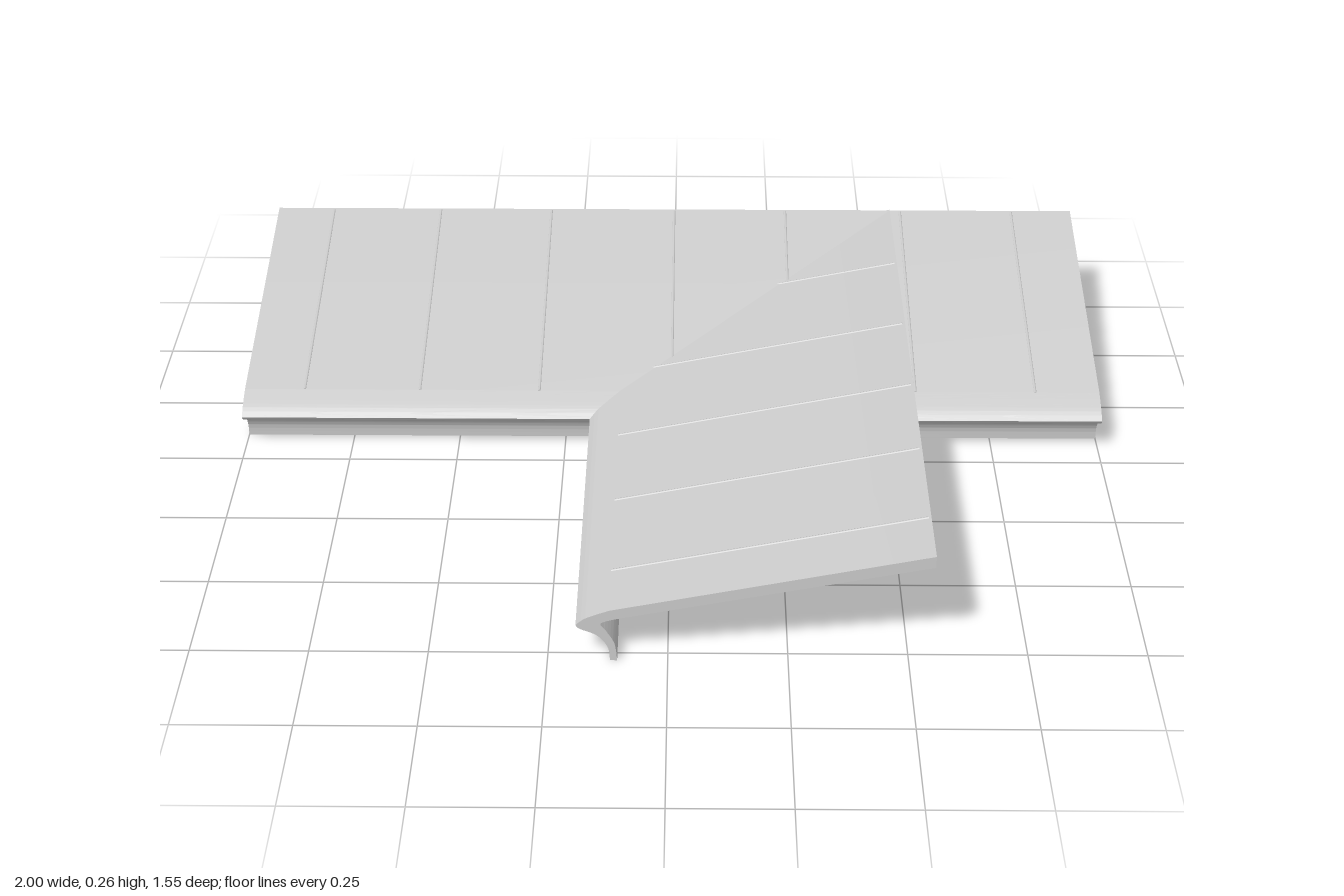
import * as THREE from 'three';
import { toCreasedNormals } from 'three/addons/utils/BufferGeometryUtils.js';

const material = new THREE.MeshStandardMaterial({ color: 0xcccccc, side: THREE.DoubleSide });
const WIDTH = 0.735;                      // horizontal run from eave lip to upper edge
const v = (x, y) => new THREE.Vector2(x, y);

// Sloped sheet with a lip at the eave that curls back under
function profile() {
  const s = new THREE.Shape();
  s.moveTo(0.07, 0);
  s.splineThru([v(0.066, 0.033), v(0.044, 0.063), v(0.008, 0.08), v(0, 0.09)]);
  s.splineThru([v(0.022, 0.107), v(0.07, 0.126)]);
  s.lineTo(WIDTH, 0.264);
  s.lineTo(WIDTH, 0.237);
  s.lineTo(0.08, 0.104);
  s.splineThru([v(0.052, 0.093), v(0.064, 0.073), v(0.08, 0.042), v(0.085, 0)]);
  s.closePath();
  return s;
}

// One panel: u runs up the slope along +x, length runs along z, centred
function panel(name, length, seams) {
  const group = new THREE.Group();
  group.name = name;

  const geo = new THREE.ExtrudeGeometry(profile(), { depth: length, bevelEnabled: false, curveSegments: 16 });
  geo.translate(0, 0, -length / 2);
  const sheet = new THREE.Mesh(toCreasedNormals(geo, 0.6), material);
  sheet.name = name + 'Sheet';
  group.add(sheet);

  // Faint raised seams across the slope
  const a = v(0.07, 0.126), b = v(WIDTH - 0.005, 0.263);
  for (const z of seams) {
    const seam = new THREE.Mesh(new THREE.CylinderGeometry(0.004, 0.004, a.distanceTo(b), 8), material);
    seam.name = name + 'Seam';
    seam.position.set((a.x + b.x) / 2, (a.y + b.y) / 2 - 0.002, z);
    seam.rotation.z = Math.atan2(b.y - a.y, b.x - a.x) - Math.PI / 2;
    group.add(seam);
  }
  return group;
}

export function createModel() {
  const model = new THREE.Group();
  model.name = 'crossingRoofPanels';

  // Long panel across the back, rising towards -z
  const long = panel('longPanel', 2, [-0.86, -0.59, -0.31, 0, 0.28, 0.57, 0.85]);
  long.rotation.y = Math.PI / 2;
  long.position.z = -0.037;

  // Shorter panel running front to back, rising towards +x; the two meet in a diagonal valley
  const cross = panel('crossPanel', 1.552, [-0.49, -0.19, 0.09, 0.36, 0.63]);
  cross.position.x = -0.19;

  model.add(long, cross);
  return model;
}
